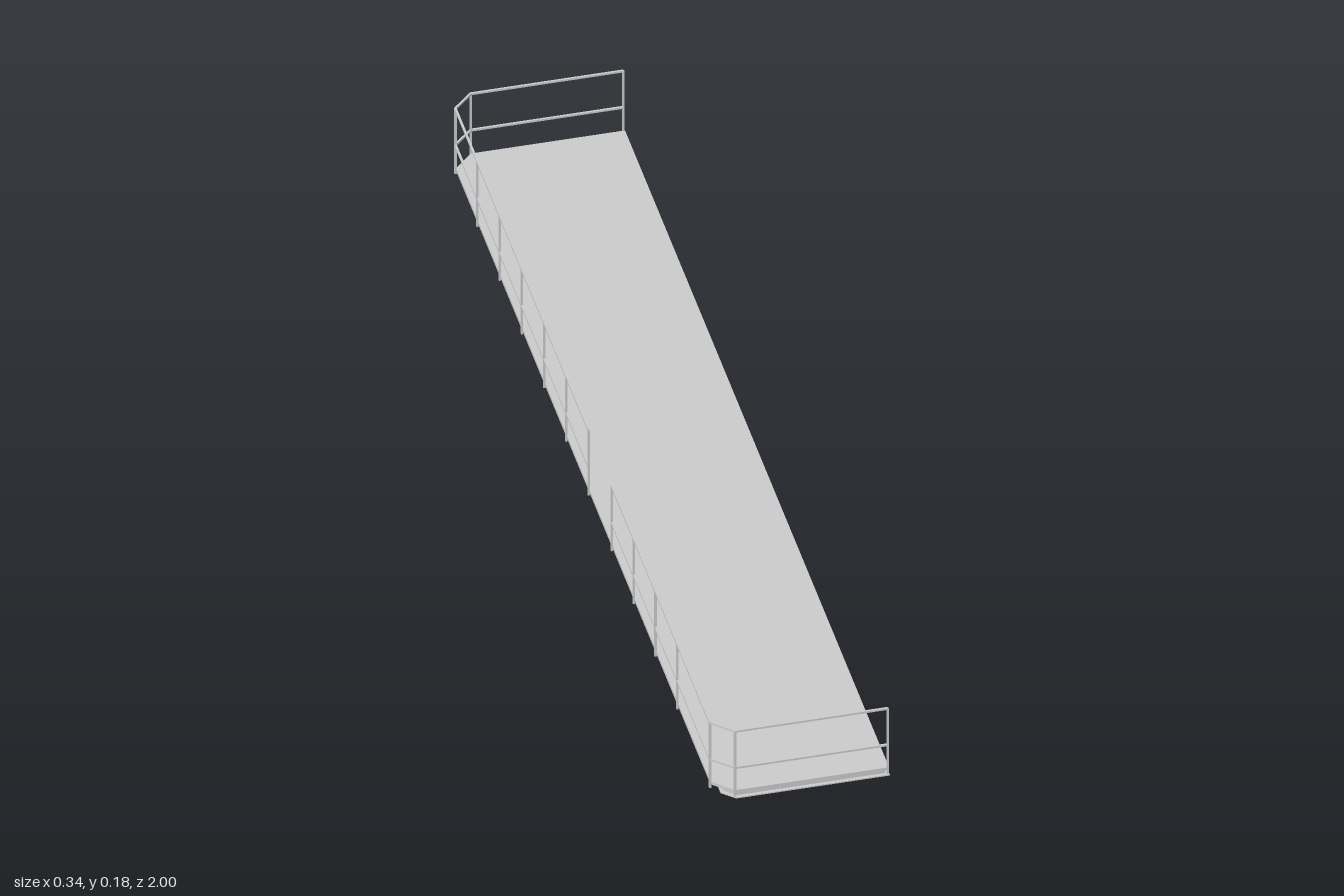
import * as THREE from 'three';

const material = new THREE.MeshStandardMaterial({ color: 0xcccccc, flatShading: true });
const V = (x, z) => new THREE.Vector2(x, z);

// Extrude a plan outline (x, z) between two heights
function slab(name, outline, y0, y1) {
  const geo = new THREE.ExtrudeGeometry(new THREE.Shape(outline), { depth: y1 - y0, bevelEnabled: false });
  geo.rotateX(Math.PI / 2).translate(0, y1, 0);
  const mesh = new THREE.Mesh(geo, material);
  mesh.name = name;
  return mesh;
}

// Outline of a strip of constant width following a plan path, with mitred corners
function strip(path, half) {
  const sides = [[], []];
  path.forEach((p, i) => {
    const a = path[Math.max(i - 1, 0)], b = path[Math.min(i + 1, path.length - 1)];
    const d0 = (i > 0 ? p.clone().sub(a) : b.clone().sub(p)).normalize();
    const d1 = (i < path.length - 1 ? b.clone().sub(p) : d0.clone()).normalize();
    const n0 = V(-d0.y, d0.x), n1 = V(-d1.y, d1.x);
    const miter = n0.clone().add(n1).normalize();
    miter.multiplyScalar(half / miter.dot(n0));
    sides[0].push(p.clone().add(miter));
    sides[1].unshift(p.clone().sub(miter));
  });
  return [...sides[0], ...sides[1]];
}

// Inverted T beam: upright web on a flat bottom flange
function beam(name, webPath, flangePath) {
  const group = new THREE.Group();
  group.name = name;
  group.add(slab('beamWeb', strip(webPath, 0.0015), 0.002, 0.0335));
  group.add(slab('beamFlange', strip(flangePath, 0.008), 0, 0.0025));
  return group;
}

// Two rails along a path, with posts at the given points
function railing(name, path, posts) {
  const group = new THREE.Group();
  group.name = name;
  const r = 0.002;
  for (const y of [0.092, 0.175]) group.add(slab('rail', strip(path, r), y - r, y + r));
  for (const p of posts) {
    const post = new THREE.Mesh(new THREE.BoxGeometry(2 * r, 0.148, 2 * r), material);
    post.position.set(p.x, 0.101, p.y);
    post.name = 'railPost';
    group.add(post);
  }
  return group;
}

export function createModel() {
  const model = new THREE.Group();
  model.name = 'platform';

  // Deck with two clipped corners
  model.add(slab('deck', [
    V(0.16, -0.997), V(0.16, 0.997), V(-0.13, 0.997), V(-0.167, 0.96), V(-0.167, -0.96), V(-0.13, -0.997),
  ], 0.033, 0.0395));

  // Edge beam round three sides
  const edge = (x) => [
    V(x, 0.963), V(-0.118, 0.963), V(-0.137, 0.945),
    V(-0.137, -0.945), V(-0.118, -0.963), V(x, -0.963),
  ];
  model.add(beam('edgeBeam', edge(0.16), edge(0.168)));

  // Two cross beams
  for (const z of [-0.319, 0.319]) {
    const line = (x) => [V(-0.137, z), V(x, z)];
    model.add(beam('crossBeam', line(0.16), line(0.168)));
  }

  // Railings either side of the entrance gap
  const sides = [
    ['frontRailing', 1, [0.22, 0.385, 0.55, 0.715]],
    ['backRailing', -1, [0.045, -0.123, -0.291, -0.459, -0.627, -0.795]],
  ];
  for (const [name, s, zs] of sides) {
    const corner = [V(-0.168, s * 0.961), V(-0.13, s * 0.998), V(0.157, s * 0.998)];
    const posts = zs.map((z) => V(-0.168, z));
    model.add(railing(name, [posts[0], ...corner], [...posts, ...corner]));
  }

  // Make every outline face outward regardless of drawing direction
  return model;
}
